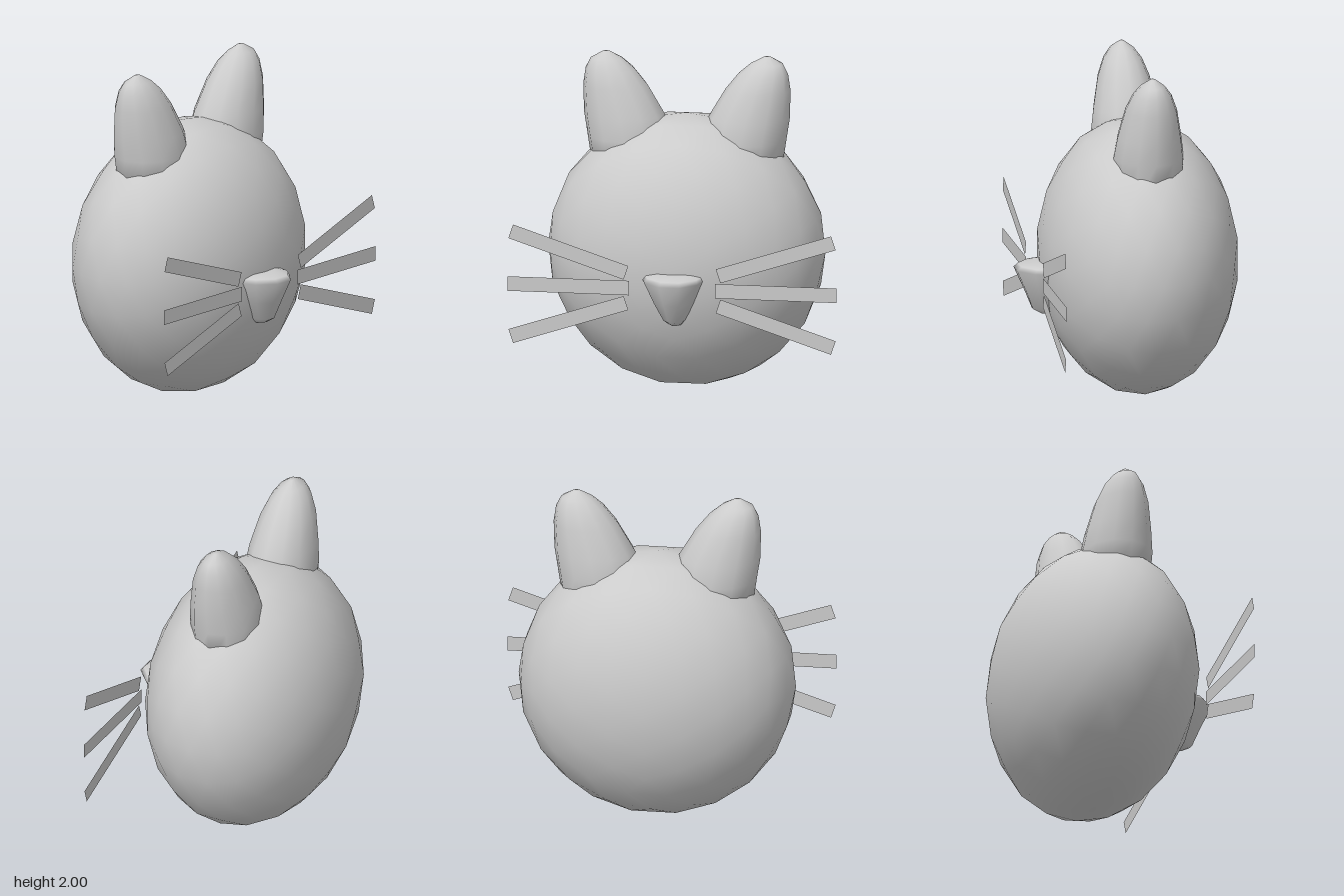
import * as THREE from 'three';

const material = new THREE.MeshStandardMaterial({ color: 0xcccccc });
const thin = new THREE.MeshStandardMaterial({ color: 0xcccccc, side: THREE.DoubleSide });

// Smooth closed loft through horizontal elliptical rings: [y, xMin, xMax, zCentre, zRadius], bottom to top
function loft(rings, sides) {
  const pos = [], index = [];
  for (const [y, x0, x1, z, rz] of rings) {
    for (let i = 0; i < sides; i++) {
      const a = (i / sides) * Math.PI * 2;
      pos.push((x0 + x1) / 2 + Math.cos(a) * (x1 - x0) / 2, y, z + Math.sin(a) * rz);
    }
  }
  for (let r = 0; r < rings.length - 1; r++) {
    for (let i = 0; i < sides; i++) {
      const j = (i + 1) % sides;
      const a = r * sides + i, b = r * sides + j;
      index.push(a, a + sides, b, b, a + sides, b + sides);
    }
  }
  // End caps
  const top = (rings.length - 1) * sides;
  for (let i = 1; i < sides - 1; i++) {
    index.push(0, i, i + 1, top, top + i + 1, top + i);
  }
  const geometry = new THREE.BufferGeometry();
  geometry.setAttribute('position', new THREE.Float32BufferAttribute(pos, 3));
  geometry.setIndex(index);
  geometry.computeVertexNormals();
  return geometry;
}

export function createModel() {
  const model = new THREE.Group();
  model.name = 'catHead';
  const add = (name, geometry, mat = material) => {
    const mesh = new THREE.Mesh(geometry, mat);
    mesh.name = name;
    model.add(mesh);
    return mesh;
  };

  // Head: flattened low-poly ball with smooth shading
  const head = new THREE.IcosahedronGeometry(1, 3);
  head.scale(0.822, 0.822, 0.585);
  add('head', head).position.set(0, 0.822, -0.08);

  // Ears: rounded cones leaning outwards, sunk into the head
  const earRings = [
    [1.3, 0.08, 0.56, 0.20],
    [1.5, 0.1, 0.59, 0.21],
    [1.63, 0.13, 0.61, 0.19],
    [1.8, 0.23, 0.615, 0.155],
    [1.9, 0.31, 0.6, 0.115],
    [1.96, 0.38, 0.57, 0.07],
    [2.0, 0.455, 0.5, 0.015],
  ];
  for (const side of [1, -1]) {
    const rings = earRings.map(([y, a, b, rz]) =>
      side > 0 ? [y, a, b, -0.08, rz] : [y, -b, -a, -0.08, rz]);
    add(side > 0 ? 'leftEar' : 'rightEar', loft(rings, 12));
  }

  // Nose: rounded wedge, wide on top and narrowing downwards
  add('nose', loft([
    [0.5, -0.035, 0.05, 0.42, 0.08],
    [0.53, -0.07, 0.075, 0.42, 0.135],
    [0.64, -0.135, 0.135, 0.42, 0.18],
    [0.77, -0.198, 0.19, 0.42, 0.24],
    [0.795, -0.18, 0.18, 0.42, 0.215],
    [0.81, -0.12, 0.12, 0.42, 0.12],
  ], 10));

  // Whiskers: three flat strips fanning out on each side
  const strip = new THREE.PlaneGeometry(0.72, 0.088);
  for (const side of [1, -1]) {
    for (const [name, tilt] of [['upper', 1], ['middle', 0], ['lower', -1]]) {
      const whisker = add(`${side > 0 ? 'left' : 'right'}${name[0].toUpperCase()}${name.slice(1)}Whisker`, strip, thin);
      whisker.position.set(side * 0.615, 0.73 + tilt * 0.205, 0.535);
      whisker.rotation.z = side * tilt * 0.32;
    }
  }
  return model;
}
